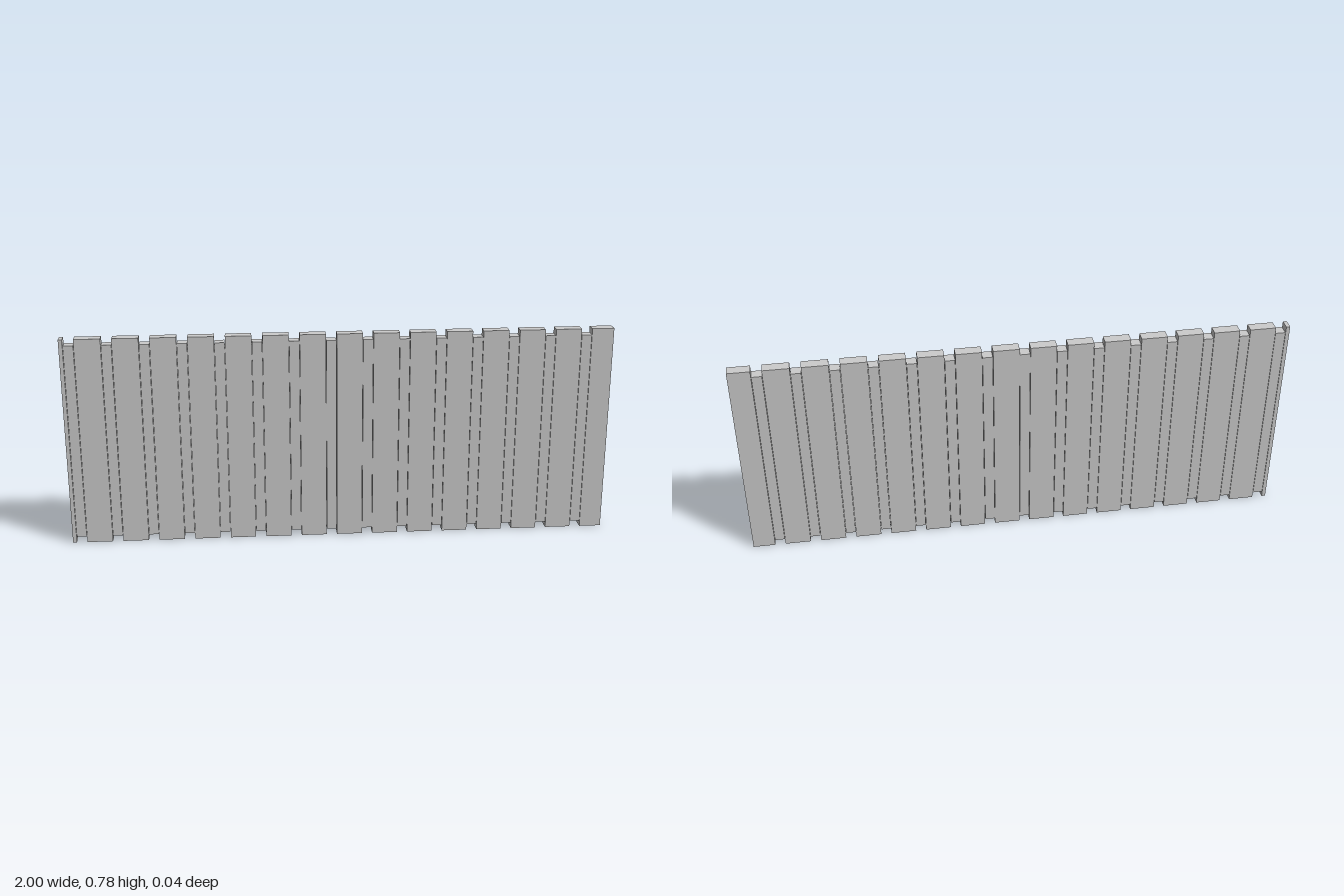
import * as THREE from 'three';

// Panel of upright planks joined by slightly shorter, flush filler strips
const HEIGHT = 0.78, DEPTH = 0.04, NOTCH = 0.023;
const COUNT = 15, PITCH = 0.1333, FIRST = -0.986, STRIP = 0.039, GAP = 0.0013;

export function createModel() {
  const group = new THREE.Group();
  const material = new THREE.MeshStandardMaterial({ color: 0xcccccc, flatShading: true });

  const addBox = (name, x0, x1, y0, y1, depth) => {
    const mesh = new THREE.Mesh(new THREE.BoxGeometry(x1 - x0, y1 - y0, depth), material);
    mesh.position.set((x0 + x1) / 2, (y0 + y1) / 2, 0);
    mesh.name = name;
    group.add(mesh);
  };

  // Planks run full height; strips sit between them with a hairline seam each side
  let edge = -1;
  for (let i = 0; i < COUNT; i++) {
    const left = FIRST + i * PITCH, right = left + STRIP;
    addBox(`plank${i + 1}`, edge, left, 0, HEIGHT, DEPTH);
    addBox(`fillerStrip${i + 1}`, left + GAP, right - GAP, NOTCH, HEIGHT - NOTCH, DEPTH);
    edge = right;
  }
  addBox(`plank${COUNT + 1}`, edge, 1, 0, HEIGHT, DEPTH);

  // Hidden core closing the seams
  addBox('core', -0.99, 0.99, NOTCH + 0.01, HEIGHT - NOTCH - 0.01, DEPTH * 0.4);

  return group;
}
